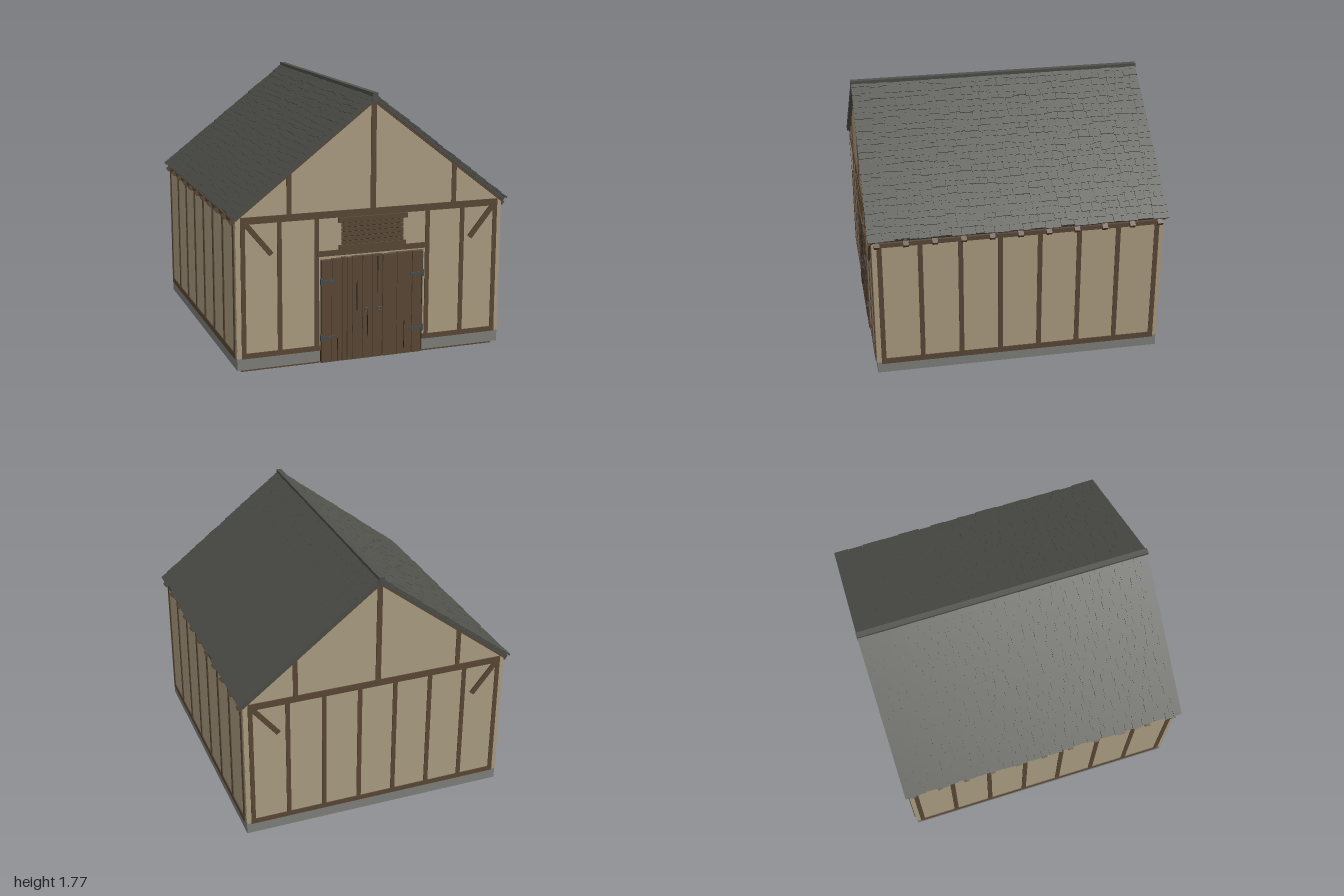
import * as THREE from 'three';

const mat = (name, color) => {
  const m = new THREE.MeshStandardMaterial({ color });
  m.name = name;
  return m;
};

export function createModel() {
  const plaster = mat('plaster', 0xb5a689);
  const timber = mat('timber', 0x5f4c39);
  const gap = mat('dark gap', 0x261d16);
  const slate = mat('slate', 0x51514c);
  const stone = mat('stone', 0x868782);
  const iron = mat('iron', 0x4a5054);

  let seed = 7;
  const rand = () => (seed = (seed * 16807) % 2147483647) / 2147483647;

  const model = new THREE.Group();
  model.name = 'barn';
  const group = (name, parent = model) => {
    const g = new THREE.Group();
    g.name = name;
    parent.add(g);
    return g;
  };
  // box given by its two opposite corners
  const box = (parent, name, material, x0, x1, y0, y1, z0, z1) => {
    const m = new THREE.Mesh(new THREE.BoxGeometry(x1 - x0, y1 - y0, z1 - z0), material);
    m.position.set((x0 + x1) / 2, (y0 + y1) / 2, (z0 + z1) / 2);
    m.name = name;
    parent.add(m);
    return m;
  };

  // floor planks running front to back
  const floor = group('floor');
  const planks = 30, pw = 1.78 / planks;
  for (let i = 0; i < planks; i++) {
    const x = -0.89 + i * pw;
    box(floor, 'floorPlank', timber, x + 0.002, x + pw - 0.002, 0, 0.02, -0.94, 0.94);
  }
  box(floor, 'subfloor', timber, -0.88, 0.88, 0.008, 0.03, -0.93, 0.93);

  // foundation with a gap at the door
  const foundation = group('foundation');
  for (const s of [-1, 1]) {
    const a = s < 0 ? -0.92 : 0.84, d = s < 0 ? -0.92 : 0.36;
    box(foundation, 'sideFooting', stone, a, a + 0.08, 0.02, 0.1, -0.968, 0.968);
    box(foundation, 'frontFooting', stone, d, d + 0.56, 0.02, 0.1, 0.888, 0.968);
  }
  box(foundation, 'backFooting', stone, -0.92, 0.92, 0.02, 0.1, -0.968, -0.888);

  // plaster walls
  const walls = group('walls');
  for (const s of [-1, 1]) {
    box(walls, 'sideWall', plaster, s < 0 ? -0.922 : 0.882, s < 0 ? -0.882 : 0.922, 0.1, 1.0, -0.972, 0.972);
    const shape = new THREE.Shape();
    shape.moveTo(-0.92, 0.1);
    if (s > 0) {
      shape.lineTo(-0.36, 0.1);
      shape.lineTo(-0.36, 0.72);
      shape.lineTo(0.36, 0.72);
      shape.lineTo(0.36, 0.1);
    }
    shape.lineTo(0.92, 0.1);
    shape.lineTo(0.92, 1.018);
    shape.lineTo(0, 1.727);
    shape.lineTo(-0.92, 1.018);
    const wall = new THREE.Mesh(new THREE.ExtrudeGeometry(shape, { depth: 0.04, bevelEnabled: false }), plaster);
    wall.name = s > 0 ? 'frontWall' : 'backWall';
    wall.position.z = s > 0 ? 0.933 : -0.973;
    walls.add(wall);
  }

  // timber frame of each gable end, built facing +z
  const endFrame = (name, posts, sills) => {
    const g = group(name);
    const z0 = 0.96, z1 = 0.979;
    box(g, 'tieBeam', timber, -0.89, 0.89, 0.98, 1.025, z0, z1 + 0.002);
    for (const [a, b] of sills) box(g, 'sill', timber, a, b, 0.098, 0.132, z0, z1 + 0.001);
    for (const x of posts) box(g, 'post', timber, x - 0.015, x + 0.015, 0.11, 1.0, z0, z1);
    box(g, 'kingPost', timber, -0.018, 0.018, 1.01, 1.715, z0, z1);
    for (const s of [-1, 1]) {
      box(g, 'gablePost', timber, s * 0.57 - 0.016, s * 0.57 + 0.016, 1.01, 1.285, z0, z1);
      const brace = box(g, 'brace', timber, -0.017, 0.017, -0.13, 0.13, -0.012, 0.012);
      brace.position.set(s * 0.772, 0.877, 0.974);
      brace.rotation.z = -s * 0.68;
      // slim rafter under the roof edge
      const rafter = box(g, 'rafter', timber, -0.58, 0.58, -0.007, 0.007, -0.01, 0.01);
      rafter.position.set(s * 0.466, 1.362, 0.97);
      rafter.rotation.z = -s * 0.656;
    }
    return g;
  };
  endFrame('frontFrame', [-0.875, -0.635, -0.385, 0.385, 0.635, 0.875], [[-0.89, -0.36], [0.36, 0.89]]);
  const back = endFrame('backFrame', [-0.875, -0.625, -0.375, -0.125, 0.125, 0.375, 0.625, 0.875], [[-0.89, 0.89]]);
  back.rotation.y = Math.PI;

  // timber frame and rafter tails of the long sides
  for (const s of [-1, 1]) {
    const g = group(s > 0 ? 'leftFrame' : 'rightFrame');
    box(g, 'sill', timber, 0.9, 0.928, 0.09, 0.13, -0.94, 0.94);
    box(g, 'wallPlate', timber, 0.9, 0.928, 0.975, 1.005, -0.94, 0.94);
    for (let i = 0; i < 8; i++) {
      const z = -0.925 + i * (1.85 / 7);
      box(g, 'post', timber, 0.9, 0.927, 0.11, 0.99, z - 0.016, z + 0.016);
    }
    for (let i = 0; i < 11; i++) {
      const tail = box(g, 'rafterTail', timber, -0.035, 0.035, -0.014, 0.014, -0.018, 0.018);
      tail.position.set(0.919, 1.005, -0.94 + i * 0.188);
      tail.rotation.z = -0.656;
    }
    if (s < 0) g.rotation.y = Math.PI;
  }

  // double door of uneven planks with dark gaps between
  const door = group('door');
  box(door, 'doorBacking', gap, -0.36, 0.36, 0.02, 0.7, 0.94, 0.962);
  const edges = [-0.355, -0.283, -0.212, -0.178, -0.14, -0.07, 0, 0.07, 0.172, 0.28, 0.35];
  for (let i = 0; i < edges.length - 1; i++) {
    const top = 0.703 + rand() * 0.012;
    box(door, 'doorPlank', timber, edges[i] + 0.002, edges[i + 1] - 0.002, 0.012, top, 0.95, 0.978 + rand() * 0.003);
  }
  for (const [x, y0, y1] of [[-0.245, 0.02, 0.17], [-0.035, 0.16, 0.35], [0.035, 0.45, 0.7], [0.225, 0.05, 0.24], [-0.11, 0.35, 0.55]])
    box(door, 'crack', gap, x - 0.002, x + 0.002, y0, y1, 0.975, 0.9815);
  for (const s of [-1, 1]) {
    for (const y of [0.182, 0.56]) {
      box(door, 'hingeStrap', iron, s * 0.31 - 0.045, s * 0.31 + 0.045, y - 0.008, y + 0.008, 0.976, 0.985);
      box(door, 'hingePin', iron, s * 0.355 - 0.007, s * 0.355 + 0.007, y - 0.022, y + 0.022, 0.972, 0.986);
    }
    const ring = new THREE.Mesh(new THREE.TorusGeometry(0.012, 0.003, 6, 16), iron);
    ring.name = 'doorRing';
    ring.position.set(s * 0.046, 0.345, 0.984);
    door.add(ring);
  }

  // lintel and stacked boards above the door
  const hatch = group('hatch');
  box(hatch, 'lintel', timber, -0.38, 0.372, 0.73, 0.766, 0.96, 0.983);
  box(hatch, 'hatchSill', timber, -0.235, 0.23, 0.765, 0.795, 0.96, 0.987);
  box(hatch, 'hatchHead', timber, -0.24, 0.24, 0.945, 0.978, 0.96, 0.987);
  box(hatch, 'hatchBacking', gap, -0.205, 0.205, 0.79, 0.945, 0.96, 0.975);
  const rows = [0.797, 0.824, 0.853, 0.884, 0.914, 0.944];
  for (let i = 0; i < 5; i++)
    box(hatch, 'hatchBoard', timber, -0.216, 0.212, rows[i], rows[i + 1] - 0.003, 0.96, 0.98);

  // roof slopes covered with overlapping, slightly uneven shingles
  const slopeLen = 1.2, count = 24;
  for (const s of [-1, 1]) {
    const side = group(s > 0 ? 'leftRoof' : 'rightRoof');
    if (s < 0) side.rotation.y = Math.PI;
    const slope = group('slope', side);
    slope.position.y = 1.762;
    slope.rotation.z = -0.656;
    box(slope, 'deck', slate, 0, slopeLen - 0.01, -0.028, -0.008, -0.995, 0.995);
    const step = slopeLen / count;
    for (let r = 0; r < count; r++) {
      let z = -0.998;
      while (z < 0.998) {
        let z1 = z + 0.05 + rand() * 0.06;
        if (z1 > 0.96) z1 = 0.998;
        const end = Math.min((r + 1) * step + (rand() - 0.5) * 0.022, slopeLen + 0.004);
        const tile = box(slope, 'shingle', slate, end - 0.085, end, -0.005, 0.003 + rand() * 0.004, z + 0.001, z1 - 0.001);
        if (r === 0) tile.scale.x = 0.5, tile.position.x = end - 0.021;
        tile.position.y -= 0.001;
        tile.rotation.z = 0.07;
        z = z1;
      }
    }
  }
  box(model, 'ridgeCap', slate, -0.018, 0.018, 1.72, 1.775, -1, 1);

  return model;
}
